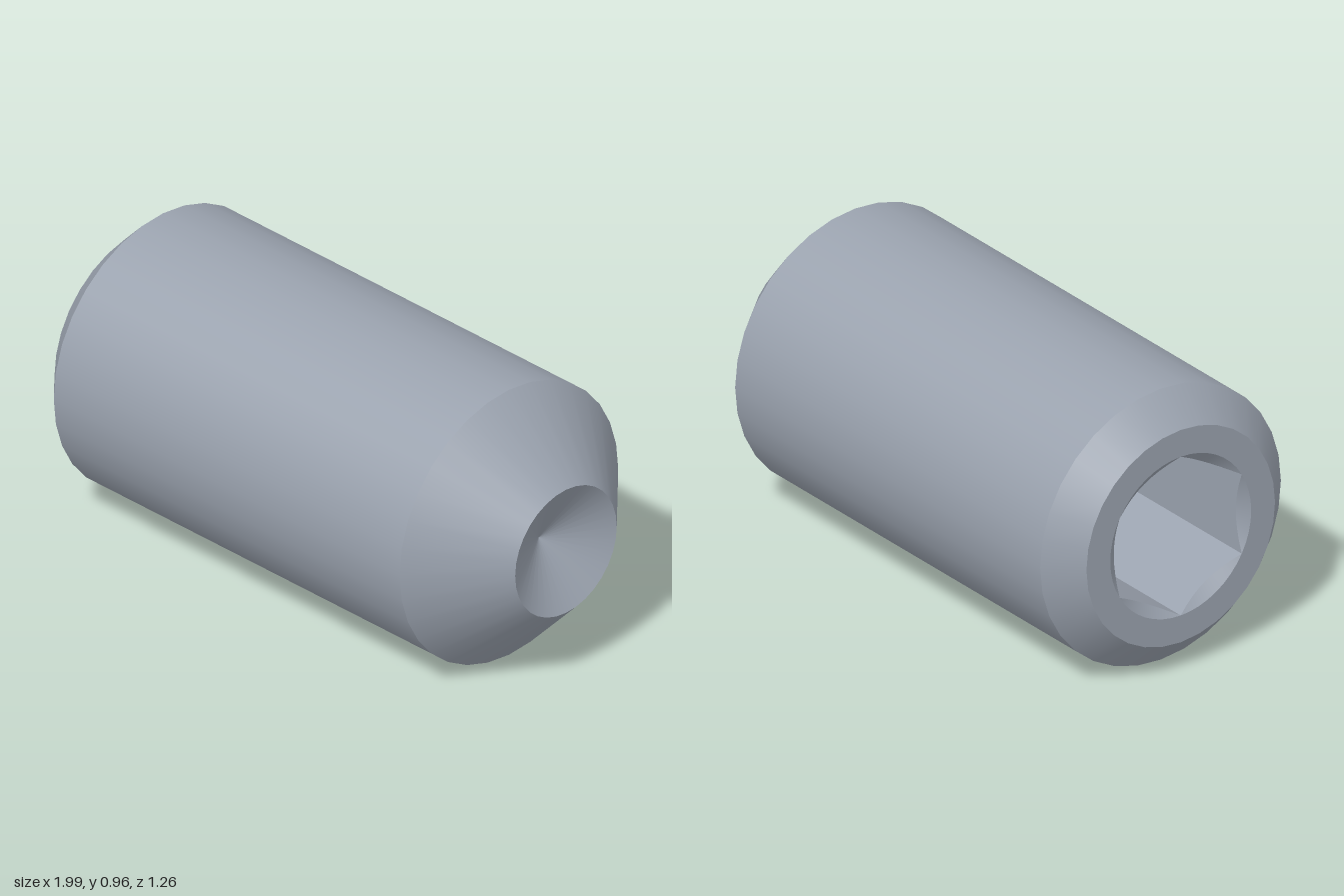
import * as THREE from 'three';
import { toCreasedNormals } from 'three/addons/utils/BufferGeometryUtils.js';

const SEGMENTS = 32;
const SOCKET_END = -0.939;   // positions along the screw axis (local z)
const SOCKET_FLOOR = -0.34;
const HEX_RADIUS = 0.281;    // centre to corner
const STEPS = 8;             // facets per hex side

// Point at an angle and radius around the axis
const polar = (angle, r, z = 0) =>
  new THREE.Vector3(Math.cos(angle) * r, Math.sin(angle) * r, z);

const circle = (r, n) =>
  Array.from({ length: n }, (_, i) => {
    const p = polar((i / n) * Math.PI * 2, r);
    return new THREE.Vector2(p.x, p.y);
  });

// One turned band between two [radius, z] profile points
function turned(from, to) {
  const points = [from, to].map(([r, z]) => new THREE.Vector2(r, z));
  return new THREE.LatheGeometry(points, SEGMENTS).rotateX(Math.PI / 2);
}

// Hex recess: either the countersunk scallops or the flat walls below them
function hexBand(part) {
  const apothem = HEX_RADIUS * Math.cos(Math.PI / 6);
  const positions = [];
  const edge = (side, i) => {
    const t = (i / STEPS - 0.5) * (Math.PI / 3);
    const angle = side * (Math.PI / 3) + t;
    const r = apothem / Math.cos(t);
    const lip = polar(angle, r, SOCKET_END + (HEX_RADIUS - r) * 0.8);
    return part === 'scallops'
      ? [polar(angle, HEX_RADIUS, SOCKET_END), lip]
      : [lip, polar(angle, r, SOCKET_FLOOR)];
  };
  for (let side = 0; side < 6; side++) {
    for (let i = 0; i < STEPS; i++) {
      const [a0, b0] = edge(side, i);
      const [a1, b1] = edge(side, i + 1);
      for (const p of [a0, b0, a1, a1, b0, b1]) positions.push(p.x, p.y, p.z);
    }
  }
  const geometry = new THREE.BufferGeometry();
  geometry.setAttribute('position', new THREE.Float32BufferAttribute(positions, 3));
  return toCreasedNormals(geometry, 0.5);
}

export function createModel() {
  const steel = new THREE.MeshStandardMaterial({ color: 0x9aa2ae });
  steel.name = 'steel';

  const screw = new THREE.Group();
  screw.name = 'setScrew';
  const add = (name, geometry) => {
    const mesh = new THREE.Mesh(geometry, steel);
    mesh.name = name;
    screw.add(mesh);
    return mesh;
  };

  // Turned outside, from the socket end to the cup point
  add('socketChamfer', turned([0.376, SOCKET_END], [0.48, -0.836]));
  add('shank', turned([0.48, -0.836], [0.48, 0.717]));
  add('pointTaper', turned([0.48, 0.717], [0.223, 0.973]));
  add('cupRecess', turned([0.223, 0.973], [0, 0.85]));

  // Flat end face around the socket
  const face = new THREE.Shape(circle(0.376, SEGMENTS));
  face.holes.push(new THREE.Path(circle(HEX_RADIUS, STEPS * 6)));
  add('socketEndFace', new THREE.ShapeGeometry(face).rotateY(Math.PI))
    .position.z = SOCKET_END;

  // Hex socket
  add('socketCountersink', hexBand('scallops'));
  add('socketWalls', hexBand('walls'));
  add('socketFloor', new THREE.CircleGeometry(HEX_RADIUS, 6, Math.PI / 2).rotateY(Math.PI))
    .position.z = SOCKET_FLOOR;

  // Lay the axis nearly along x, turned slightly toward the front
  screw.rotation.y = THREE.MathUtils.degToRad(78);
  screw.position.set(0, 0.48, 0.005);

  const model = new THREE.Group();
  model.name = 'model';
  model.add(screw);
  return model;
}
